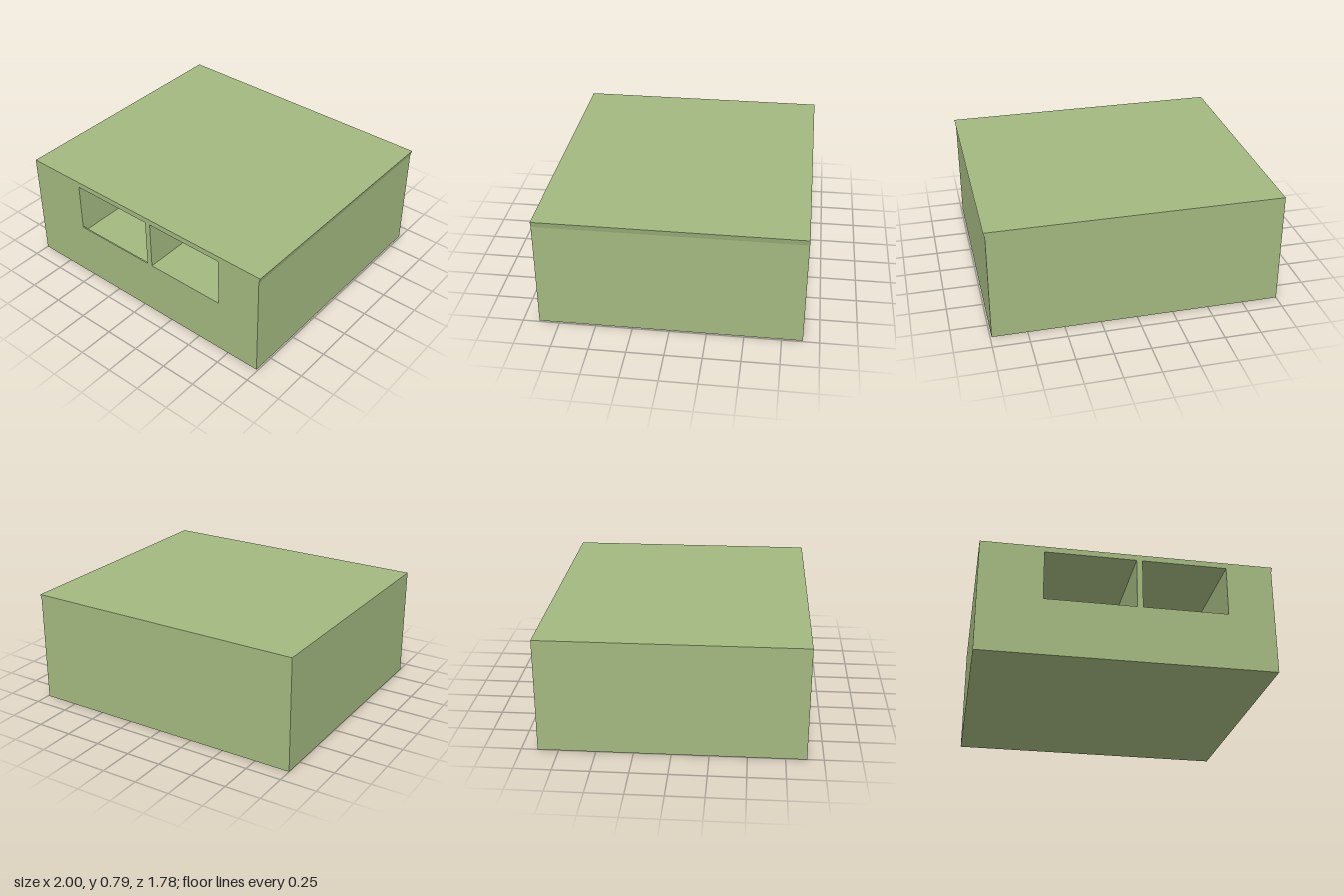
import * as THREE from 'three';

export function createModel() {
  const group = new THREE.Group();
  const green = new THREE.MeshStandardMaterial({ color: 0xa3b87f });
  green.name = 'sage green';

  const add = (name, geometry, x = 0, y = 0, z = 0) => {
    const mesh = new THREE.Mesh(geometry, green);
    mesh.name = name;
    mesh.position.set(x, y, z);
    group.add(mesh);
    return mesh;
  };

  const left = -1, right = 0.99, eaves = 0.75, top = 0.79;
  const front = 0.89, wall = 0.04;

  // Main block: a profile with two deep bays, separated by a thin divider
  const profile = new THREE.Shape([
    [left, 0], [right, 0], [right, eaves],
    [0.67, eaves], [0.67, 0.4], [0.09, 0.4], [0.09, eaves],
    [0.05, eaves], [0.05, 0.36], [-0.57, 0.36], [-0.57, eaves],
    [left, eaves],
  ].map(([x, y]) => new THREE.Vector2(x, y)));
  const depth = 2 * front - wall;
  add('body', new THREE.ExtrudeGeometry(profile, { depth, bevelEnabled: false }), 0, 0, front - depth);

  // Low sill across the left bay, in front of its sunken floor
  add('sill', new THREE.BoxGeometry(0.62, 0.04, 0.01), -0.26, 0.38, front - 0.005);

  // Wall closing both bays at the back
  add('backWall', new THREE.BoxGeometry(right - left, eaves, wall),
    (left + right) / 2, eaves / 2, -front + wall / 2);

  // Roof slab, its right edge leaning out slightly towards the top
  const roof = new THREE.BoxGeometry(2, top - eaves, 2 * front);
  const p = roof.attributes.position;
  for (let i = 0; i < p.count; i++) {
    if (p.getX(i) > 0 && p.getY(i) < 0) p.setX(i, right);
  }
  roof.computeVertexNormals();
  add('roof', roof, 0, (top + eaves) / 2, 0);

  return group;
}
